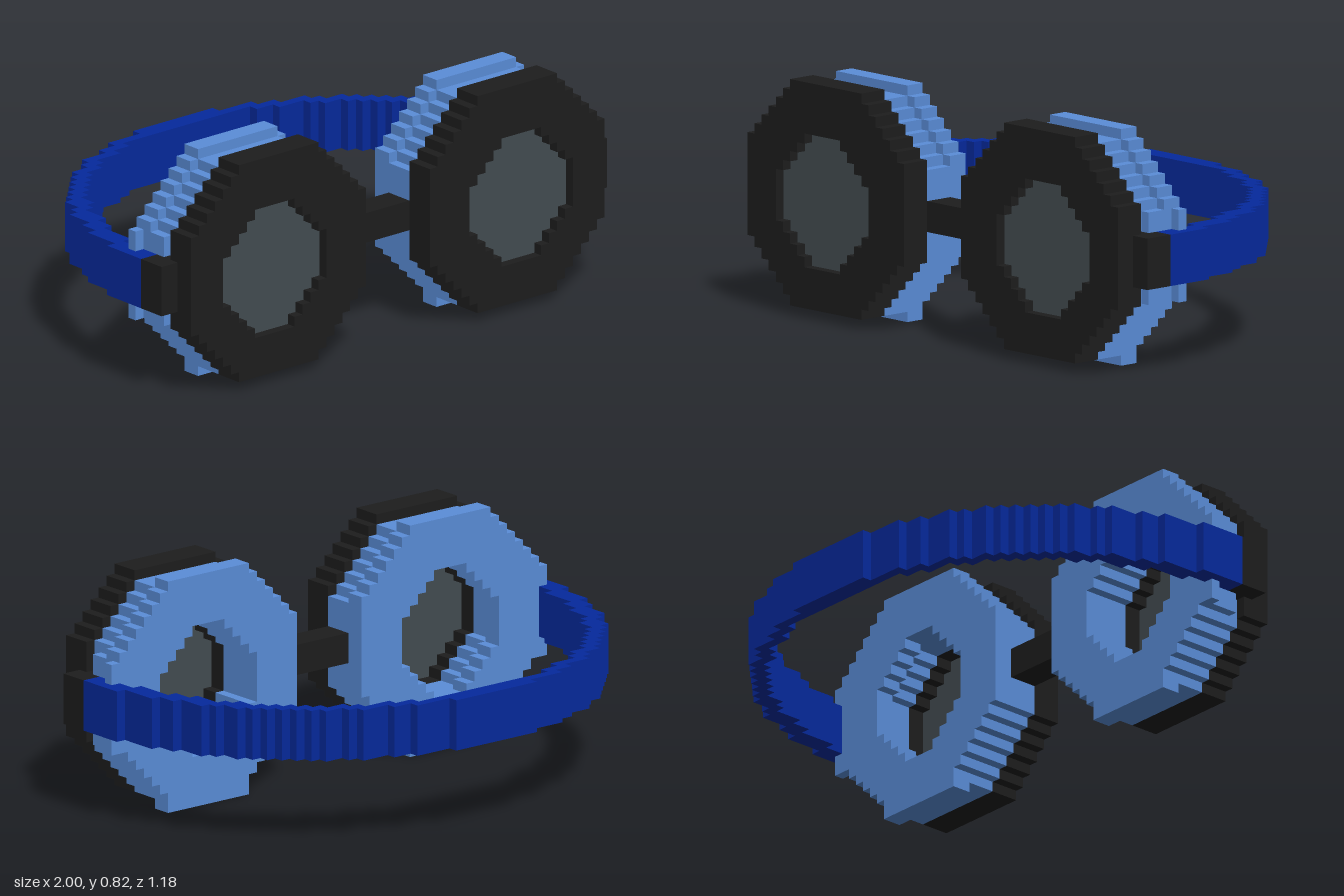
import * as THREE from 'three';

const V = 1 / 28; // size of one block

const material = (name, color) => Object.assign(new THREE.MeshStandardMaterial({ color }), { name });

// Rows of a stepped octagon: [left, right] for each block row
function octagonRows(cx, count, flat, full) {
  return Array.from({ length: count }, (_, i) => {
    const h = Math.min(full, flat + Math.min(i, count - 1 - i));
    return [cx - h, cx + h];
  });
}

// Stepped outline around the rows, starting at height y0; s mirrors in x
function outline(rows, y0, s) {
  const right = [], left = [];
  rows.forEach(([l, r], i) => {
    const same = (k) => i > 0 && rows[i - 1][k] === rows[i][k];
    if (same(1)) right.pop();
    else right.push([r, y0 + i]);
    right.push([r, y0 + i + 1]);
    if (same(0)) left.pop();
    else left.push([l, y0 + i]);
    left.push([l, y0 + i + 1]);
  });
  const points = [...right, ...left.reverse()].map(([x, y]) => new THREE.Vector2(s * x * V, y * V));
  return s > 0 ? points : points.reverse(); // always counter-clockwise
}

function plate(name, mat, rows, y0, z0, z1, s, hole) {
  const shape = new THREE.Shape(outline(rows, y0, s));
  if (hole) shape.holes.push(new THREE.Path(outline(hole, 5, s)));
  const geo = new THREE.ExtrudeGeometry(shape, { depth: (z1 - z0) * V, bevelEnabled: false });
  geo.translate(0, 0, z0 * V);
  const mesh = new THREE.Mesh(geo, mat);
  mesh.name = name;
  return mesh;
}

// Box between two corners, in blocks
function block(name, mat, x0, x1, y0, y1, z0, z1) {
  const geo = new THREE.BoxGeometry(Math.abs(x1 - x0) * V, (y1 - y0) * V, (z1 - z0) * V);
  geo.translate((x0 + x1) / 2 * V, (y0 + y1) / 2 * V, (z0 + z1) / 2 * V);
  const mesh = new THREE.Mesh(geo, mat);
  mesh.name = name;
  return mesh;
}

export function createModel() {
  const model = new THREE.Group();
  model.name = 'goggles';
  const black = material('black frame', 0x1d1d1d);
  const padBlue = material('light blue padding', 0x5a8dd8);
  const strapBlue = material('dark blue strap', 0x05299c);
  const glass = material('grey lens', 0x434c51);

  const rimRows = octagonRows(15, 22, 5, 11);
  const padRows = octagonRows(15, 21, 5, 11);
  const innerPadRows = padRows.map(([l, r]) => [l, Math.min(r, 25)]);
  const flangeRows = [[10, 20], ...rimRows];
  const lensRows = octagonRows(15.5, 13, 2.5, 6.5);
  const flangeHole = octagonRows(15, 13, 2, 6);

  // Eyepieces, one per side
  for (const s of [1, -1]) {
    const eye = new THREE.Group();
    eye.name = s > 0 ? 'leftEyepiece' : 'rightEyepiece';
    eye.add(
      plate('rim', black, rimRows, 1, 13.5, 16.5, s, lensRows),
      plate('lens', glass, lensRows, 5, 15.3, 15.5, s),
      plate('padFront', padBlue, innerPadRows, 1, 12.5, 13.5, s, lensRows),
      plate('padMiddle', padBlue, padRows, 1, 10.5, 12.5, s, lensRows),
      plate('padFlange', padBlue, flangeRows, 0, 8.5, 10.5, s, flangeHole),
      block('padSide', padBlue, s * 26, s * 27, 7, 16, 8.5, 9.5),
      block('strapClip', black, s * 25, s * 28, 9, 14, 11.5, 14.5),
    );
    model.add(eye);
  }

  // Nose bridge
  model.add(block('bridge', black, -4, 4, 10, 13, 10.5, 13.5));

  // Strap: stepped arc, each step is [outer x, front z] and overlaps the one before
  const strap = new THREE.Group();
  strap.name = 'strap';
  strap.add(block('strapBack', strapBlue, -5, 5, 9, 14, -16.5, -14.5));
  const steps = [[9, -14.5], [11, -13.5], [14, -12.5], [15, -11.5], [17, -10.5], [18, -9.5],
    [19, -8.5], [20, -7.5], [21, -6.5], [22, -5.5], [23, -3.5], [24, -2.5], [25, 0.5],
    [26, 2.5], [27, 6.5], [28, 11.5]];
  for (const s of [1, -1]) {
    let x = 6, z = -15.5;
    for (const [outer, front] of steps) {
      strap.add(block('strapStep', strapBlue, s * (x - 1), s * outer, 9, 14, z, front));
      x = outer;
      z = front;
    }
  }
  model.add(strap);
  return model;
}
